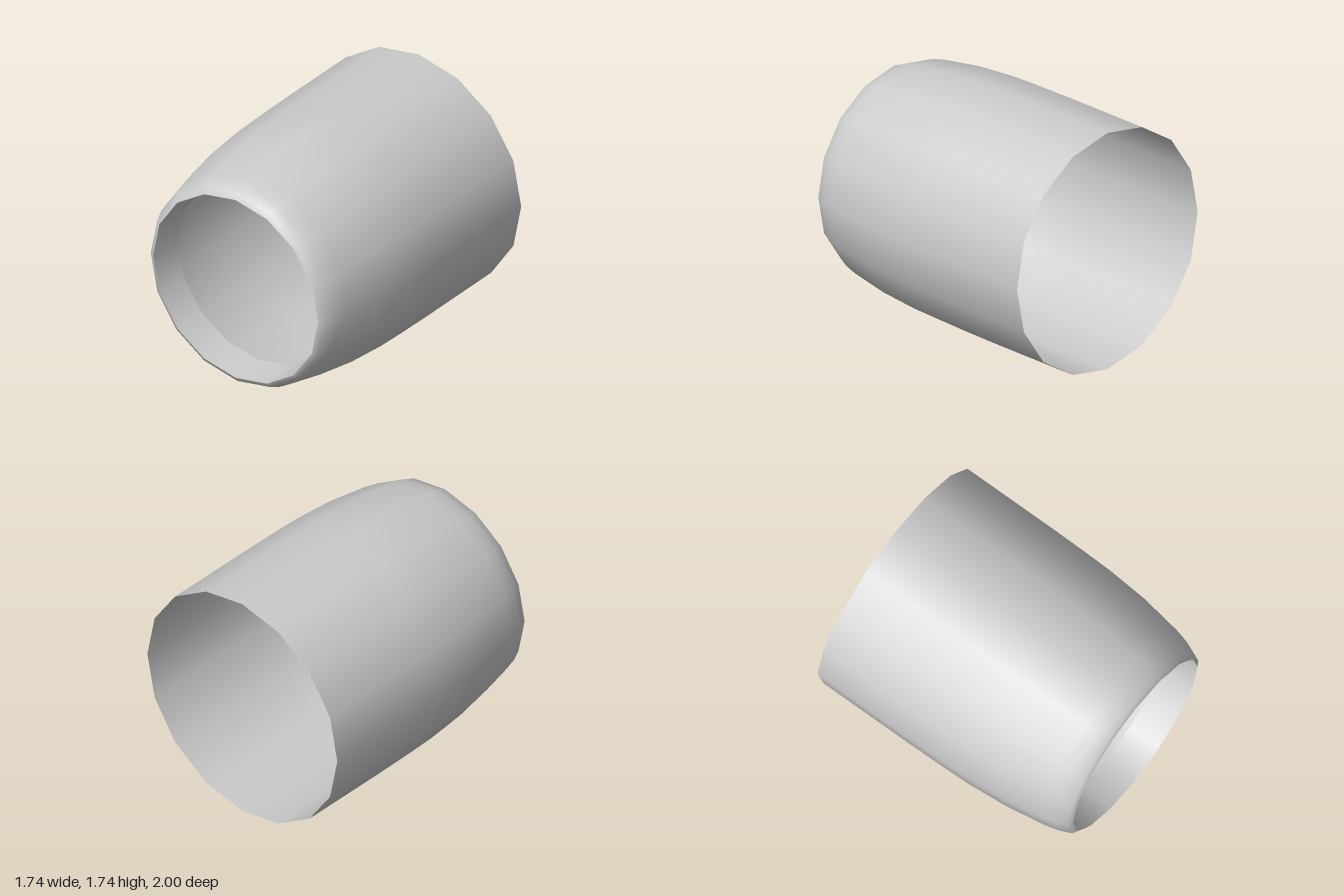
import * as THREE from 'three';

const SIDES = 16;
const RADIUS = 0.868;

// Surface of revolution about the z axis from [z, radius] pairs
function revolve(name, profile, material) {
  const points = profile.map(([z, r]) => new THREE.Vector2(r, z));
  const geometry = new THREE.LatheGeometry(points, SIDES);
  geometry.rotateX(Math.PI / 2);
  const mesh = new THREE.Mesh(geometry, material);
  mesh.name = name;
  mesh.position.y = RADIUS;
  return mesh;
}

export function createModel() {
  const group = new THREE.Group();
  group.name = 'taperedSleeve';
  const material = new THREE.MeshStandardMaterial({ color: 0xcccccc, side: THREE.DoubleSide });

  // Thin outer shell: straight at the back, rounded in towards the front
  group.add(revolve('outerShell', [
    [-1, RADIUS], [-0.3, RADIUS], [0, 0.865], [0.2, 0.86], [0.5, 0.837],
    [0.8, 0.79], [0.9, 0.765], [0.98, 0.73], [1, 0.695],
  ], material));

  // Short lip turned back inside the front opening
  group.add(revolve('innerLip', [[1, 0.695], [0.76, 0.67]], material));

  return group;
}
